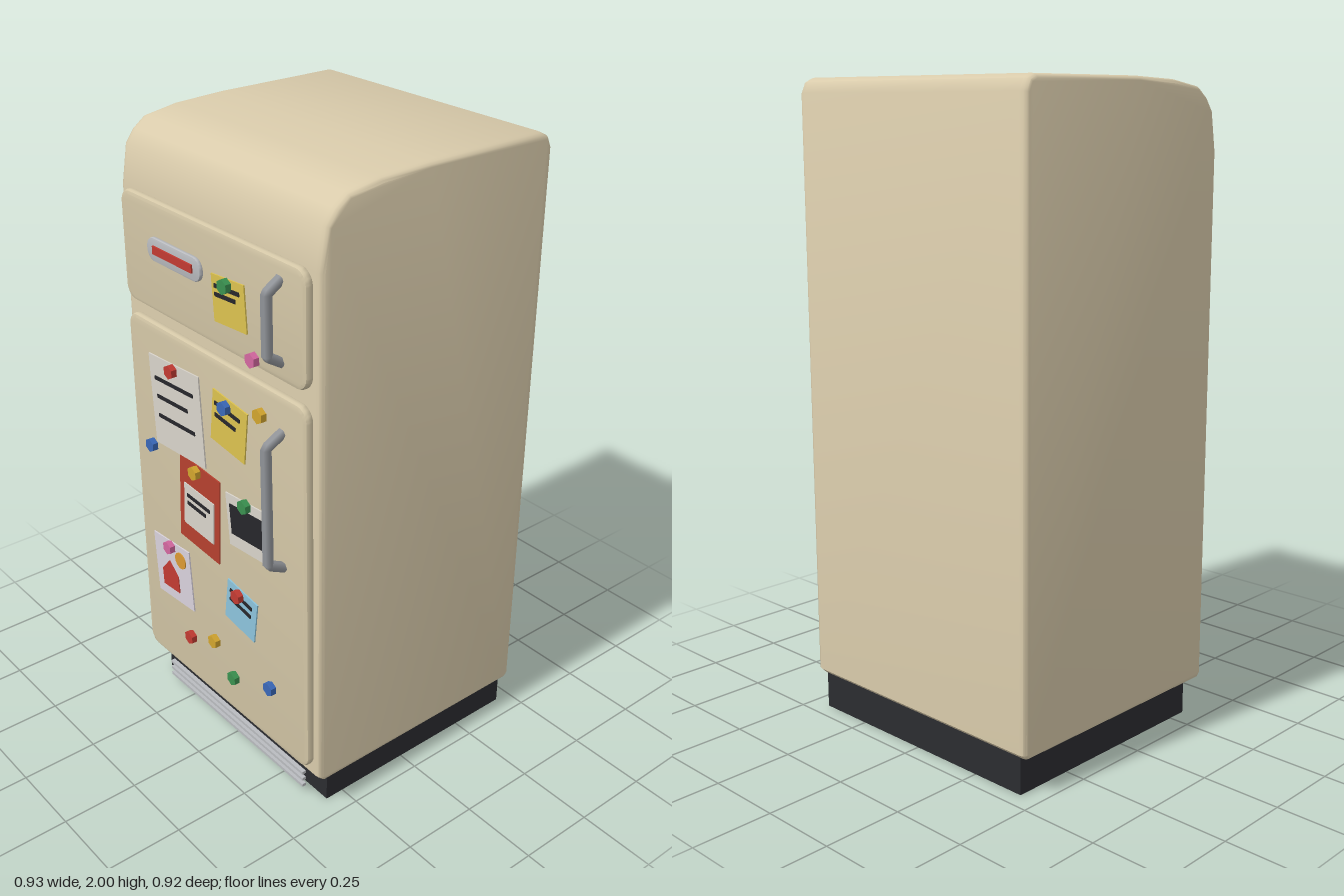
import * as THREE from 'three';
import { toCreasedNormals } from 'three/addons/utils/BufferGeometryUtils.js';

const COLORS = {
  cream: 0xd9cbab, door: 0xd3c6a6, plinth: 0x2b2c30, metal: 0x94979c, bar: 0xb9bbbf,
  red: 0xc23b32, blue: 0x3a68b8, yellow: 0xd2a52e, green: 0x3a9150, pink: 0xd468a0,
  paper: 0xd9d4cb, note: 0xdcc250, sky: 0x8cc4dc, lilac: 0xd9d2dc, poster: 0xb5402f,
  ink: 0x26272b, orange: 0xdb9a35,
};
const materials = {};
const mat = (c) => (materials[c] ??= new THREE.MeshStandardMaterial({ color: COLORS[c] }));

function add(parent, name, geometry, color, x = 0, y = 0, z = 0) {
  const mesh = new THREE.Mesh(geometry, mat(color));
  mesh.name = name;
  mesh.position.set(x, y, z);
  parent.add(mesh);
  return mesh;
}

function roundedRect(w, h, r) {
  const s = new THREE.Shape();
  s.absarc(w / 2 - r, h / 2 - r, r, 0, Math.PI / 2);
  s.absarc(-w / 2 + r, h / 2 - r, r, Math.PI / 2, Math.PI);
  s.absarc(-w / 2 + r, -h / 2 + r, r, Math.PI, Math.PI * 1.5);
  s.absarc(w / 2 - r, -h / 2 + r, r, Math.PI * 1.5, Math.PI * 2);
  s.closePath();
  return s;
}

// Rounded slab with its back at z = 0 and a bevelled rim
function slab(w, h, depth, r, bevel) {
  const g = new THREE.ExtrudeGeometry(roundedRect(w, h, r), {
    depth: depth - 2 * bevel, bevelThickness: bevel, bevelSize: bevel * 1.4,
    bevelOffset: -bevel * 1.4, bevelSegments: 2, curveSegments: 6,
  });
  g.translate(0, 0, bevel);
  return toCreasedNormals(g, 0.6);
}

// Cabinet: side profile (z, y) extruded across the width
function cabinet() {
  const profile = [
    [-0.445, 0.115], [0.35, 0.115], [0.365, 0.13], [0.365, 1.785], [0.345, 1.905],
    [0.315, 1.945], [0.275, 1.975], [0.165, 1.993], [0, 2], [-0.42, 2], [-0.445, 1.988],
    [-0.46, 1.955], [-0.46, 0.13],
  ].map(([z, y]) => new THREE.Vector2(z, y));
  const bevel = 0.024, width = 0.93;
  const g = new THREE.ExtrudeGeometry(new THREE.Shape(profile), {
    depth: width - 2 * bevel, bevelThickness: bevel, bevelSize: 0.013,
    bevelOffset: -0.013, bevelSegments: 3,
  });
  g.translate(0, 0, bevel - width / 2);
  g.rotateY(-Math.PI / 2);
  return toCreasedNormals(g, 0.7);
}

// Six-sided bar handle bent out from the door
function handle(top, bottom, reach) {
  const pts = [[top, 0.385], [top - 0.03, reach], [bottom + 0.03, reach], [bottom, 0.385]]
    .map(([y, z]) => new THREE.Vector3(0.325, y, z));
  const path = new THREE.CurvePath();
  for (let i = 0; i < 3; i++) path.add(new THREE.LineCurve3(pts[i], pts[i + 1]));
  return new THREE.TubeGeometry(path, 60, 0.016, 6);
}

const FACE = 0.389; // front plane of the doors

// Tilted sheet on the door; ink lines are [x, y, width] in the sheet's own frame
function sheet(parent, name, color, x, y, w, h, tilt, lines = []) {
  const g = new THREE.Group();
  g.name = name;
  g.position.set(x, y, FACE);
  g.rotation.z = tilt;
  add(g, 'sheet', new THREE.BoxGeometry(w, h, 0.005), color, 0, 0, 0.002);
  for (const [lx, ly, lw] of lines)
    add(g, 'inkLine', new THREE.BoxGeometry(lw, 0.012, 0.003), 'ink', lx, ly, 0.0085);
  parent.add(g);
  return g;
}

export function createModel() {
  const model = new THREE.Group();
  model.name = 'refrigerator';

  add(model, 'cabinet', cabinet(), 'cream');

  // Plinth and grille
  add(model, 'plinth', new THREE.BoxGeometry(0.866, 0.125, 0.76), 'plinth', 0, 0.0625, -0.066);
  for (const y of [0.03, 0.055, 0.08])
    add(model, 'grilleBar', new THREE.BoxGeometry(0.73, 0.01, 0.014), 'bar', 0, y, 0.35);

  // Doors and handles
  add(model, 'freezerDoor', slab(0.866, 0.345, 0.029, 0.045, 0.009), 'door', 0, 1.6175, 0.36);
  add(model, 'mainDoor', slab(0.866, 1.245, 0.029, 0.045, 0.009), 'door', 0, 0.7775, 0.36);
  add(model, 'freezerHandle', handle(1.738, 1.5, 0.433), 'metal');
  add(model, 'mainHandle', handle(1.29, 0.85, 0.444), 'metal');

  // Badge plate
  add(model, 'badgePlate', slab(0.265, 0.072, 0.014, 0.034, 0.003), 'bar', -0.153, 1.649, FACE - 0.003);
  add(model, 'badgeStripe', new THREE.BoxGeometry(0.195, 0.025, 0.006), 'red', -0.153, 1.65, 0.402);

  // Papers
  sheet(model, 'letter', 'paper', -0.185, 1.153, 0.262, 0.3, 0.06,
    [[0, 0.08, 0.2], [-0.015, 0.02, 0.16], [0, -0.045, 0.19]]);
  sheet(model, 'yellowNote', 'note', 0.082, 1.21, 0.165, 0.17, -0.12,
    [[-0.005, 0.048, 0.12], [-0.012, 0.01, 0.1]]);
  sheet(model, 'freezerNote', 'note', 0.103, 1.597, 0.15, 0.14, 0.07,
    [[0, 0.04, 0.115], [-0.01, 0.015, 0.095]]);
  sheet(model, 'blueNote', 'sky', 0.114, 0.582, 0.15, 0.15, -0.14,
    [[0, 0.047, 0.11], [0, 0.015, 0.105]]);

  const poster = sheet(model, 'poster', 'poster', -0.087, 0.852, 0.207, 0.3, -0.06);
  add(poster, 'posterPanel', new THREE.BoxGeometry(0.155, 0.148, 0.003), 'paper', 0, -0.015, 0.006);
  for (const [x, y, w] of [[0, 0.022, 0.12], [-0.01, -0.005, 0.095]])
    add(poster, 'inkLine', new THREE.BoxGeometry(w, 0.012, 0.003), 'ink', x, y, 0.0085);

  const photo = sheet(model, 'photo', 'paper', 0.161, 0.9, 0.2, 0.175, 0.09);
  add(photo, 'photoImage', new THREE.BoxGeometry(0.158, 0.1, 0.003), 'ink', 0, 0.008, 0.0075);

  const drawing = sheet(model, 'drawing', 'lilac', -0.254, 0.534, 0.2, 0.22, 0.07);
  const house = new THREE.Shape([[-0.045, -0.05], [0.045, -0.05], [0.045, 0.01], [0, 0.055], [-0.045, 0.01]]
    .map(([x, y]) => new THREE.Vector2(x, y)));
  add(drawing, 'drawnHouse', new THREE.ExtrudeGeometry(house, { depth: 0.003, bevelEnabled: false }),
    'red', -0.018, -0.022, 0.005);
  const sun = new THREE.CylinderGeometry(0.029, 0.029, 0.004, 16).rotateX(Math.PI / 2);
  add(drawing, 'drawnSun', sun, 'orange', 0.049, 0.06, 0.006);

  // Hexagonal magnets, one point up
  const magnet = toCreasedNormals(
    new THREE.CylinderGeometry(0.023, 0.023, 0.019, 6).rotateX(Math.PI / 2), 0.5);
  const magnets = {
    red: [[-0.188, 1.286], [0.114, 0.64], [-0.153, 0.333]],
    blue: [[0.08, 1.272], [-0.317, 0.984], [0.27, 0.384]],
    yellow: [[0.249, 1.317], [-0.087, 0.984], [-0.019, 0.394]],
    green: [[0.103, 1.651], [0.164, 0.984], [0.08, 0.307]],
    pink: [[0.222, 1.476], [-0.254, 0.632]],
  };
  for (const [color, spots] of Object.entries(magnets))
    for (const [x, y] of spots) add(model, color + 'Magnet', magnet, color, x, y, 0.407);

  return model;
}
